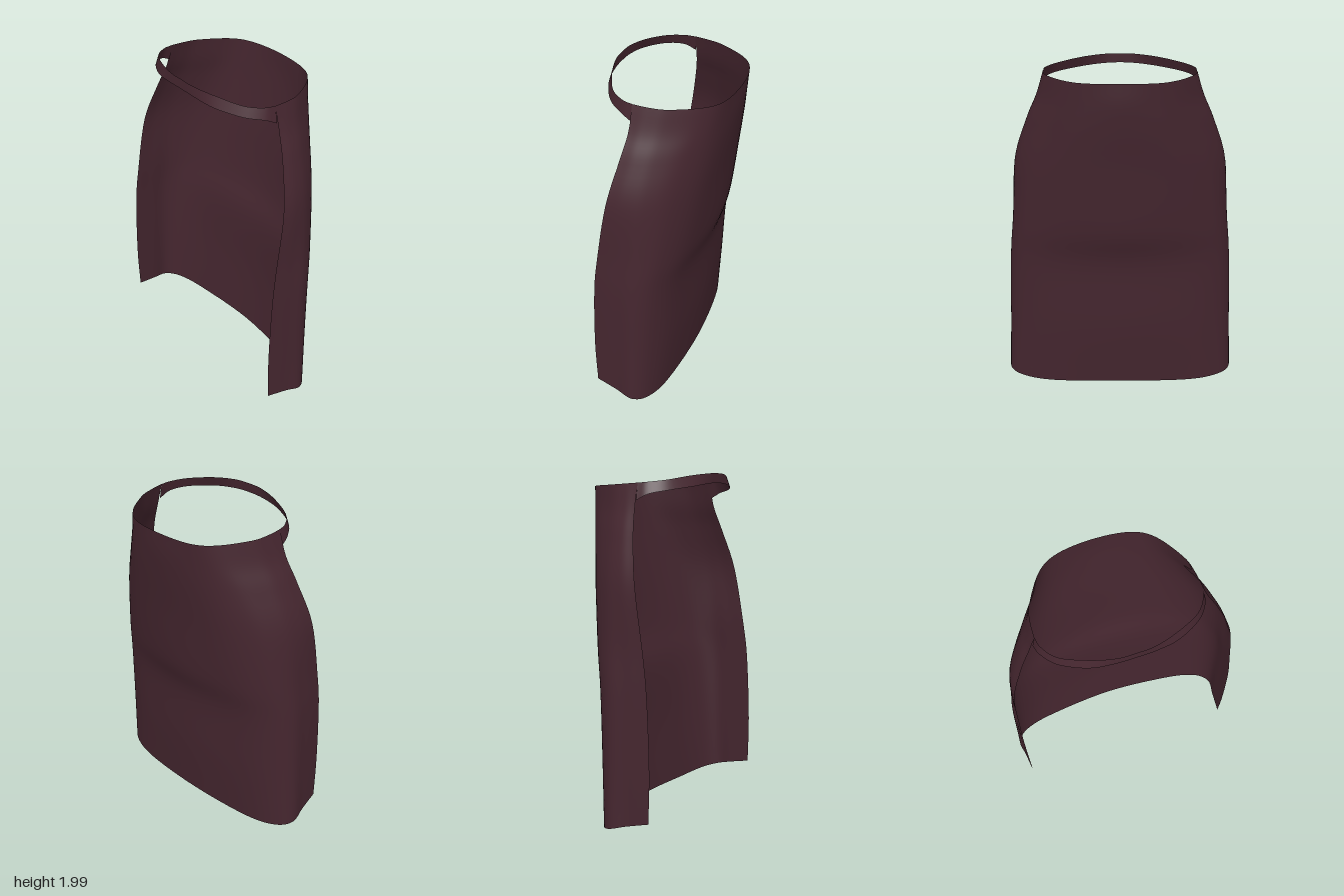
import * as THREE from 'three';

// Mirrors half a cross-section, listed from the centre (x = 0) outwards.
const mirrored = (half, dir) => [
  ...half.slice(1).reverse().map(([x, y, z]) => new THREE.Vector3(-dir * x, y, z)),
  ...half.map(([x, y, z]) => new THREE.Vector3(dir * x, y, z)),
];

// Lofts a smooth open sheet through cross-sections listed from bottom to top.
function loft(halves, dir, nu, nv) {
  const curves = halves.map((h) => new THREE.CatmullRomCurve3(mirrored(h, dir), false, 'catmullrom', 0.5));
  const pos = [];
  const idx = [];
  for (let i = 0; i <= nu; i++) {
    const rib = new THREE.CatmullRomCurve3(curves.map((c) => c.getPoint(i / nu)), false, 'catmullrom', 0.5);
    for (let j = 0; j <= nv; j++) pos.push(...rib.getPoint(j / nv).toArray());
  }
  for (let i = 0; i < nu; i++) {
    for (let j = 0; j < nv; j++) {
      const a = i * (nv + 1) + j;
      const b = a + nv + 1;
      idx.push(a, b, b + 1, a, b + 1, a + 1);
    }
  }
  const g = new THREE.BufferGeometry();
  g.setAttribute('position', new THREE.Float32BufferAttribute(pos, 3));
  g.setIndex(idx);
  g.computeVertexNormals();
  return g;
}

const level = (y, pts) => pts.map(([x, z]) => [x, y, z]);

export function createModel() {
  const group = new THREE.Group();
  group.name = 'waistCloth';
  const cloth = new THREE.MeshStandardMaterial({ color: 0x45262f, side: THREE.DoubleSide });
  cloth.name = 'plumCloth';

  // Rear panel wrapping round to both hips, from hem to waist
  const panel = new THREE.Mesh(loft([
    [[0, 0.014, -0.12], [0.42, 0.007, -0.09], [0.62, 0.02, -0.04], [0.702, 0.04, 0.04], [0.69, 0.07, 0.15], [0.675, 0.1, 0.28]],
    level(0.4, [[0, -0.16], [0.4, -0.125], [0.6, -0.06], [0.686, 0.03], [0.685, 0.15], [0.672, 0.285]]),
    level(0.8, [[0, -0.185], [0.39, -0.15], [0.585, -0.08], [0.67, 0.02], [0.675, 0.14], [0.668, 0.268]]),
    level(1.04, [[0, -0.245], [0.36, -0.2], [0.56, -0.11], [0.645, 0], [0.66, 0.12], [0.66, 0.24]]),
    level(1.4, [[0, -0.29], [0.31, -0.255], [0.5, -0.155], [0.6, -0.03], [0.635, 0.08], [0.64, 0.18]]),
    level(1.65, [[0, -0.328], [0.26, -0.295], [0.42, -0.2], [0.52, -0.06], [0.555, 0.04], [0.56, 0.125]]),
    level(1.8, [[0, -0.348], [0.23, -0.315], [0.36, -0.235], [0.46, -0.08], [0.49, 0.02], [0.495, 0.096]]),
    [[0, 1.925, -0.355], [0.2, 1.925, -0.333], [0.32, 1.93, -0.26], [0.42, 1.935, -0.1], [0.445, 1.94, 0], [0.45, 1.945, 0.09]],
  ], -1, 60, 42), cloth);
  panel.name = 'rearPanel';

  // Narrow waistband closing the front
  const band = new THREE.Mesh(loft([
    [[0, 1.945, 0.354], [0.11, 1.94, 0.35], [0.24, 1.925, 0.325], [0.38, 1.905, 0.25], [0.45, 1.885, 0.16], [0.468, 1.85, 0.09]],
    [[0, 2, 0.35], [0.1, 1.997, 0.345], [0.23, 1.985, 0.306], [0.37, 1.962, 0.235], [0.435, 1.95, 0.15], [0.449, 1.945, 0.088]],
  ], 1, 50, 3), cloth);
  band.name = 'frontWaistband';

  group.add(panel, band);
  return group;
}
